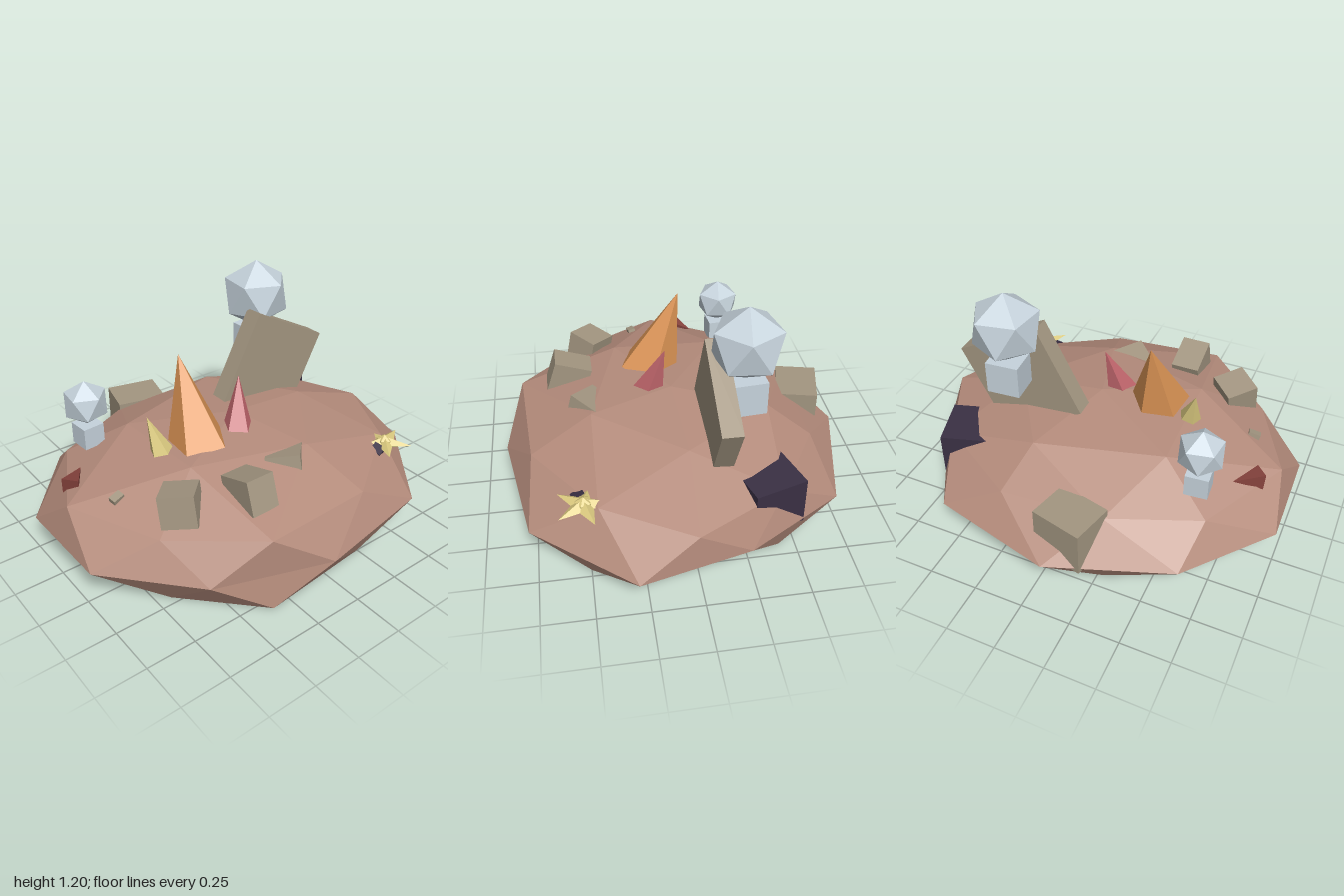
import * as THREE from 'three';

const V = (x, y, z) => new THREE.Vector3(x, y, z);
const mat = (color) => new THREE.MeshStandardMaterial({ color, flatShading: true });
const sand = mat(0xb58c7c), stone = mat(0xa39681), dark = mat(0x3a3044), pale = mat(0xc6d3dc);
const yellow = mat(0xdccb80), orange = mat(0xdb9455), pink = mat(0xc0666c), red = mat(0x84423c);

function trianglesGeometry(triangles) {
  const geo = new THREE.BufferGeometry().setFromPoints(triangles.flat());
  geo.computeVertexNormals();
  return geo;
}

// Faceted mound: rings of points joined from pole to flat underside
function moundGeometry() {
  const toPoints = (list) => list.map((p) => V(...p));
  const pole = V(0.04, 0.55, 0.02);
  const crown = toPoints([
    [0.5, 0.5, 0], [0.16, 0.51, 0.44], [-0.42, 0.52, 0.27], [-0.43, 0.5, -0.28], [0.2, 0.5, -0.45]]);
  const upper = toPoints([
    [0.92, 0.355, 0.02], [0.69, 0.375, 0.45], [0.25, 0.36, 0.75], [-0.35, 0.38, 0.79], [-0.72, 0.35, 0.45],
    [-0.94, 0.37, 0], [-0.7, 0.35, -0.46], [-0.26, 0.36, -0.65], [0.27, 0.34, -0.67], [0.7, 0.37, -0.42]]);
  const rim = [
    [1, 0.3], [0.6, 0.78], [-0.05, 0.89], [-0.62, 0.69], [-0.99, 0.28],
    [-1, -0.25], [-0.65, -0.67], [-0.05, -0.89], [0.58, -0.73], [0.87, -0.24]].map(([x, z]) => V(x, 0.18, z));
  const lower = toPoints([
    [0.76, 0, 0.01], [0.72, 0.01, 0.5], [0.25, 0, 0.75], [-0.35, 0.005, 0.81], [-0.68, 0, 0.46],
    [-0.9, 0.02, 0], [-0.66, 0, -0.44], [-0.28, 0, -0.68], [0.26, 0, -0.68], [0.68, 0, -0.42]]);
  const base = V(0, 0, 0);
  const tris = [];
  for (let k = 0; k < 5; k++) {
    const a = crown[k], b = crown[(k + 1) % 5];
    const u0 = upper[2 * k], u1 = upper[2 * k + 1], u2 = upper[(2 * k + 2) % 10];
    tris.push([pole, b, a], [a, u1, u0], [a, b, u1], [b, u2, u1]);
  }
  for (let j = 0; j < 10; j++) {
    const n = (j + 1) % 10, r0 = rim[(j + 9) % 10], r1 = rim[j];
    tris.push([r0, upper[j], r1], [upper[j], upper[n], r1]);
    tris.push([r0, r1, lower[j]], [lower[j], r1, lower[n]], [base, lower[j], lower[n]]);
  }
  return trianglesGeometry(tris);
}

// Icosahedron standing on one of its corners
function ballGeometry(radius) {
  const geo = new THREE.IcosahedronGeometry(radius, 0);
  const corner = V(0, 1, (1 + Math.sqrt(5)) / 2).normalize();
  return geo.applyQuaternion(new THREE.Quaternion().setFromUnitVectors(corner, V(0, 1, 0)));
}

// Five-armed star with a raised ridge on both faces
function starGeometry(outer, inner, height) {
  const point = (i) => {
    const a = Math.PI * (i / 5 - 0.5), r = i % 2 ? inner : outer;
    return V(r * Math.cos(a), 0, r * Math.sin(a));
  };
  const tris = [];
  for (let i = 0; i < 10; i++) {
    const a = point(i), b = point(i + 1);
    tris.push([V(0, height, 0), b, a], [V(0, -height, 0), a, b]);
  }
  return trianglesGeometry(tris);
}

export function createModel() {
  const model = new THREE.Group();
  const add = (name, geo, material, position = [0, 0, 0], rotation = [0, 0, 0], parent = model) => {
    const mesh = new THREE.Mesh(geo, material);
    mesh.name = name;
    mesh.position.set(...position);
    mesh.rotation.set(...rotation);
    parent.add(mesh);
    return mesh;
  };
  const box = (name, size, material, position, rotation) =>
    add(name, new THREE.BoxGeometry(...size), material, position, rotation);

  // Leaning spike from its base centre to its tip
  const spike = (name, base, tip, radius, sides, material, turn = 0) => {
    const from = V(...base), axis = V(...tip).sub(from), length = axis.length();
    const geo = new THREE.ConeGeometry(radius, length, sides).rotateY(turn).translate(0, length / 2, 0);
    add(name, geo, material, base).quaternion.setFromUnitVectors(V(0, 1, 0), axis.normalize());
  };

  add('mound', moundGeometry(), sand);

  // Slab and buried blocks
  box('leaningSlab', [0.5, 0.5, 0.1], stone, [0.4, 0.645, -0.15], [0, 0, -0.485]);
  box('darkBlock', [0.25, 0.25, 0.27], dark, [0.62, 0.29, -0.36], [0, 0.3, 0]);
  box('backRock', [0.27, 0.24, 0.22], stone, [-0.12, 0.28, -0.7], [0, -0.24, 0]);
  box('frontRockLeft', [0.17, 0.16, 0.17], stone, [-0.57, 0.45, 0.4], [-0.2, 0.8, 0]);
  box('frontRockMiddle', [0.15, 0.17, 0.2], stone, [-0.275, 0.473, 0.531], [-0.32, 0, 0]);
  box('frontRockRight', [0.17, 0.17, 0.17], stone, [0.03, 0.43, 0.435], [-0.25, 0.785, 0]);
  box('pebble', [0.06, 0.06, 0.04], stone, [-0.75, 0.405, 0.14], [0.2, 0.2, 0.2]);
  box('darkPebble', [0.06, 0.06, 0.06], dark, [0.58, 0.345, 0.53], [0.3, 0.3, 0.2]);

  // Spikes
  spike('orangeSpike', [-0.25, 0.48, 0.1], [-0.25, 0.93, -0.06], 0.165, 5, orange, 0.3);
  spike('pinkSpike', [-0.03, 0.49, 0.13], [0.037, 0.77, 0.05], 0.09, 5, pink);
  spike('yellowSpike', [-0.43, 0.48, 0.05], [-0.475, 0.68, -0.01], 0.065, 5, yellow);
  spike('redSpike', [-0.86, 0.385, -0.11], [-0.75, 0.4, -0.21], 0.06, 4, red);

  // Round plants: a faceted ball over a block stem
  for (const [name, x, y, z, radius, stem, stemY] of [
    ['largePlant', 0.41, 1.015, -0.275, 0.187, 0.17, 0.755],
    ['smallPlant', -0.62, 0.66, -0.35, 0.12, 0.115, 0.485]]) {
    const plant = new THREE.Group();
    plant.name = name;
    add('ball', ballGeometry(radius), pale, [x, y, z], [0, 0.2, 0], plant);
    add('stem', new THREE.BoxGeometry(stem, stem, stem), pale, [x, stemY, z], [0, 0.08, 0], plant);
    model.add(plant);
  }

  // Starfish with a small knob in its centre
  const starfish = new THREE.Group();
  starfish.name = 'starfish';
  add('arms', starGeometry(0.145, 0.058, 0.035), yellow, [0.65, 0.37, 0.515], [0, 0, 0], starfish);
  add('knob', ballGeometry(0.045), yellow, [0.65, 0.37, 0.515], [0, 0, 0], starfish);
  model.add(starfish);

  return model;
}
